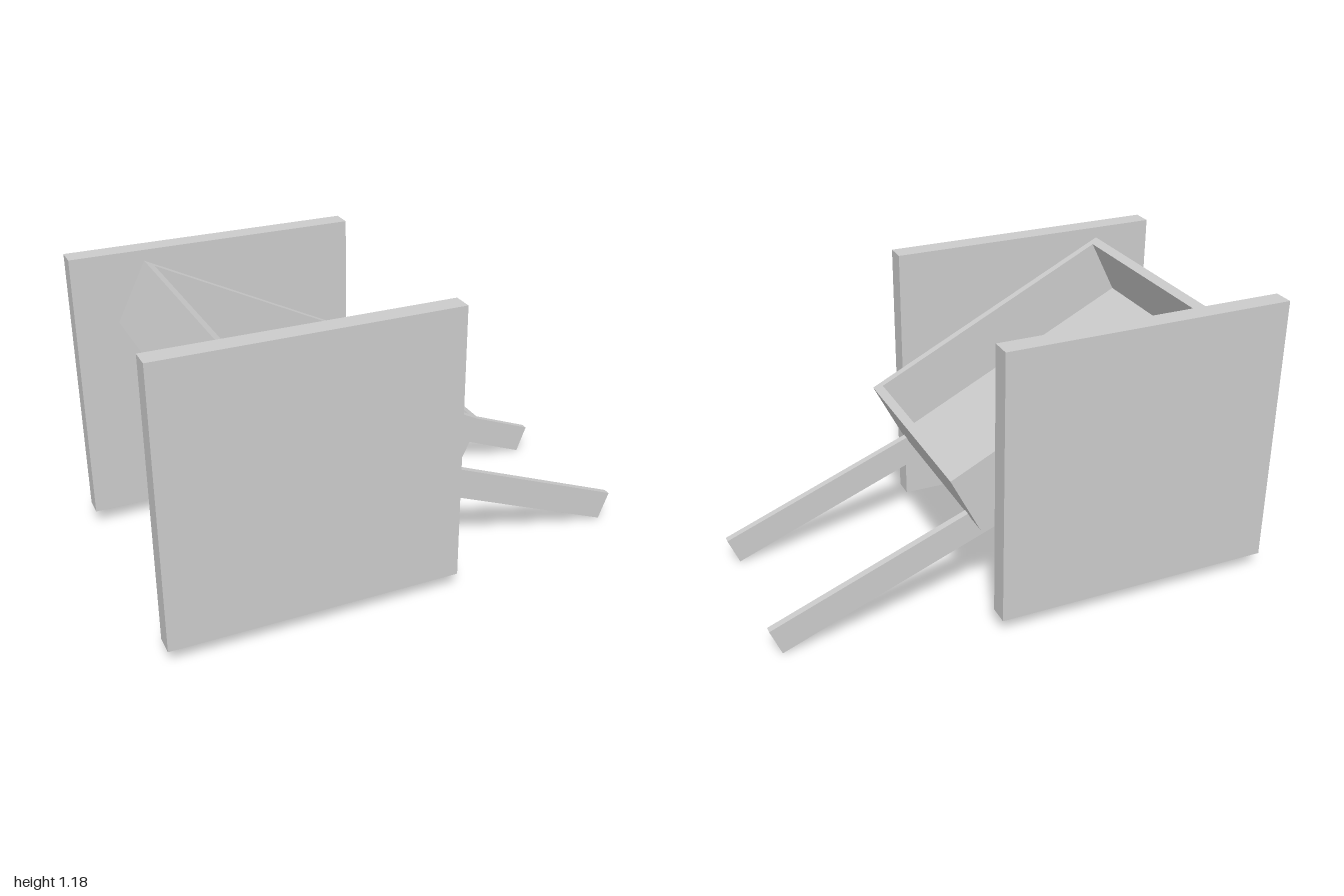
import * as THREE from 'three';

const material = new THREE.MeshStandardMaterial({ color: 0xcccccc, flatShading: true });

function addMesh(parent, name, geometry, x = 0, y = 0, z = 0) {
  const mesh = new THREE.Mesh(geometry, material);
  mesh.name = name;
  mesh.position.set(x, y, z);
  parent.add(mesh);
  return mesh;
}

// Corner points of a centred rectangle
function rectangle(w, h) {
  return [[-w, -h], [w, -h], [w, h], [-w, h]].map(([x, y]) => new THREE.Vector2(x / 2, y / 2));
}

// Open tray: a rectangular wall ring closed by a floor panel, base at y = 0
function createTray(length, width, depth, endWall, sideWall, floor) {
  const tray = new THREE.Group();
  tray.name = 'tray';
  const innerLength = length - 2 * endWall;
  const innerWidth = width - 2 * sideWall;

  const ring = new THREE.Shape(rectangle(length, width));
  ring.holes.push(new THREE.Path(rectangle(innerLength, innerWidth).reverse()));
  const walls = new THREE.ExtrudeGeometry(ring, { depth, bevelEnabled: false });
  walls.rotateX(-Math.PI / 2);
  addMesh(tray, 'trayWalls', walls);

  addMesh(tray, 'trayFloor', new THREE.BoxGeometry(innerLength, floor, innerWidth), 0, floor / 2, 0);
  return tray;
}

export function createModel() {
  const model = new THREE.Group();
  model.name = 'trayCart';

  // Upright square side panels
  for (const side of [1, -1]) {
    addMesh(model, side > 0 ? 'frontSidePanel' : 'backSidePanel',
      new THREE.BoxGeometry(1.158, 1.115, 0.082), -0.421, 0.6225, side * 0.52);
  }

  // Tray sloping down towards the handles
  const tray = createTray(1.152, 0.852, 0.265, 0.036, 0.032, 0.024);
  tray.position.set(-0.3235, 0.6605, 0);
  tray.rotation.z = -Math.atan(0.5);
  model.add(tray);

  // Handles running from under the tray down to the ground
  const handleAngle = THREE.MathUtils.degToRad(21.5);
  const handleLength = 1.06;
  const handleX = 0.9783 - Math.cos(handleAngle) * handleLength / 2;
  const handleY = 0.0555 + Math.sin(handleAngle) * handleLength / 2;
  for (const [name, z] of [['frontHandle', 0.347], ['backHandle', -0.318]]) {
    const handle = addMesh(model, name,
      new THREE.BoxGeometry(handleLength, 0.119, 0.029), handleX, handleY, z);
    handle.rotation.z = -handleAngle;
  }

  return model;
}
